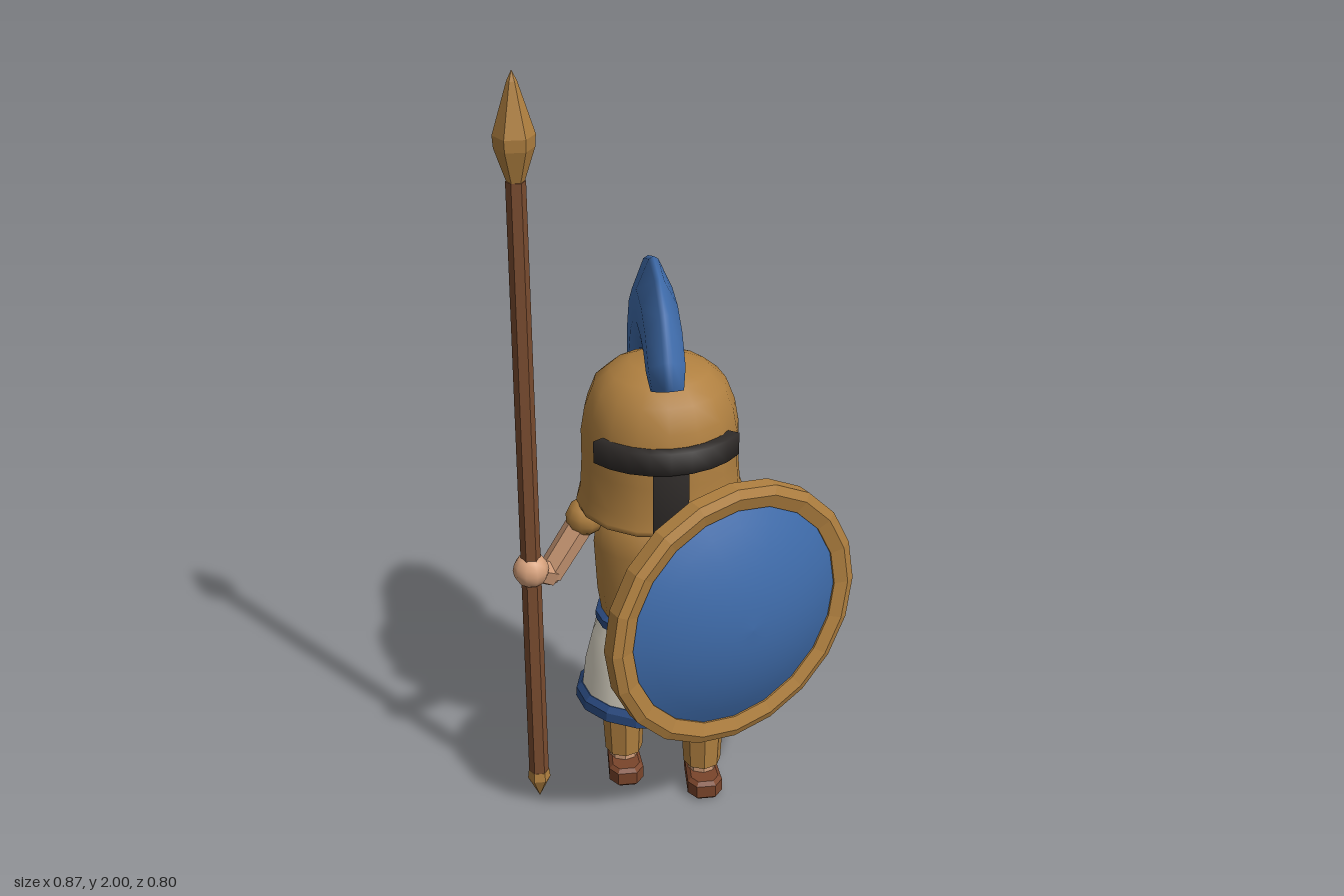
import * as THREE from 'three';

const mat = (color, flatShading = false) =>
  new THREE.MeshStandardMaterial({ color, flatShading, side: THREE.DoubleSide });
const V = (x, y, z) => new THREE.Vector3(x, y, z);

// Vertical middle axis of the body
const CX = -0.047;

export function createModel() {
  const model = new THREE.Group();
  const gold = mat(0xb08040), goldFlat = mat(0xb08040, true);
  const blue = mat(0x3f6cab), darkBlue = mat(0x2a4a80, true);
  const cloth = mat(0xded8c8), skin = mat(0xd6a17c, true), skinSmooth = mat(0xd6a17c);
  const wood = mat(0x7a4c30, true), leather = mat(0x7a452b, true), dark = mat(0x2e2a28);
  const shieldBack = mat(0x643f2c);

  const add = (name, geometry, material, x = 0, y = 0, z = 0, parent = model) => {
    const mesh = new THREE.Mesh(geometry, material);
    mesh.name = name;
    mesh.position.set(x, y, z);
    parent.add(mesh);
    return mesh;
  };
  const lathe = (points, sides) =>
    new THREE.LatheGeometry(points.map(([r, y]) => new THREE.Vector2(r, y)), sides);
  // Tapered limb from one point to another
  const limb = (name, a, b, ra, rb, material) => {
    const d = b.clone().sub(a);
    const mesh = add(name, new THREE.CylinderGeometry(rb, ra, d.length(), 6), material);
    mesh.position.copy(a).addScaledVector(d, 0.5);
    mesh.quaternion.setFromUnitVectors(V(0, 1, 0), d.normalize());
    return mesh;
  };

  // Torso and skirt, oval in plan
  const body = new THREE.Group();
  body.name = 'body';
  body.position.set(CX, 0, -0.005);
  body.scale.z = 0.82;
  model.add(body);
  add('torso', lathe([[0.15, 0.5], [0.165, 0.6], [0.172, 0.74], [0.155, 0.86], [0, 0.88]], 16), gold, 0, 0, 0, body);
  add('skirt', lathe([[0, 0.29], [0.212, 0.29], [0.212, 0.29], [0.2, 0.39], [0.18, 0.47], [0.155, 0.53]], 16),
    cloth, 0, 0, 0, body);
  add('skirtTrim', lathe([[0.2, 0.265], [0.228, 0.27], [0.226, 0.295], [0.212, 0.31], [0.2, 0.31]], 16),
    darkBlue, 0, 0, 0, body);
  add('belt', lathe([[0.15, 0.5], [0.171, 0.508], [0.171, 0.53], [0.15, 0.54]], 16), darkBlue, 0, 0, 0, body);

  // Legs: the left one steps forward
  for (const [side, x, z] of [['left', 0.055, 0.055], ['right', -0.147, -0.03]]) {
    add(side + 'Leg', new THREE.CylinderGeometry(0.045, 0.038, 0.28, 8), skin, x, 0.19, z);
    add(side + 'Greave', new THREE.CylinderGeometry(0.06, 0.05, 0.18, 8), goldFlat, x, 0.165, z);
    const shoe = new THREE.Shape();
    shoe.moveTo(-0.03, -0.055);
    shoe.lineTo(0.03, -0.055);
    shoe.lineTo(0.036, 0.06);
    shoe.lineTo(0.02, 0.082);
    shoe.lineTo(-0.02, 0.082);
    shoe.lineTo(-0.036, 0.06);
    const geometry = new THREE.ExtrudeGeometry(shoe, {
      depth: 0.035, bevelThickness: 0.01, bevelSize: 0.01, bevelSegments: 1 });
    geometry.rotateX(Math.PI / 2);
    add(side + 'Shoe', geometry, leather, x, 0.045, z - 0.005);
  }

  // Arms
  const arms = [
    ['right', V(-0.24, 0.815, 0), V(-0.335, 0.655, 0.0), V(-0.385, 0.71, 0.07)],
    ['left', V(0.145, 0.815, 0), V(0.228, 0.665, 0.05), V(0.165, 0.665, 0.15)],
  ];
  for (const [side, shoulder, elbow, hand] of arms) {
    add(side + 'Pauldron', new THREE.SphereGeometry(0.05, 10, 7), gold, ...shoulder.toArray());
    limb(side + 'UpperArm', shoulder, elbow, 0.037, 0.035, skin);
    add(side + 'Elbow', new THREE.IcosahedronGeometry(0.036, 0), skin, ...elbow.toArray());
    limb(side + 'Forearm', elbow, hand, 0.035, 0.03, skin);
    add(side + 'Hand', new THREE.SphereGeometry(0.046, 10, 8), skinSmooth, ...hand.toArray());
  }

  // Helmet with a T-shaped face opening
  add('helmet', lathe([[0, 0.86], [0.19, 0.85], [0.213, 0.855], [0.213, 0.868], [0.203, 0.9], [0.198, 0.98],
    [0.198, 1.06], [0.188, 1.12], [0.165, 1.18], [0.125, 1.215], [0.075, 1.238], [0, 1.245]], 16),
    gold, CX, 0, -0.005);
  const arc = 0.97;
  for (const [name, r, h, y, a] of [['eyeSlit', 0.217, 0.058, 1.06, arc], ['faceSlit', 0.212, 0.17, 0.955, 0.21]]) {
    // Curved band, closed above and below, following the helmet
    const band = [[r - 0.03, -h / 2], [r, -h / 2], [r, h / 2], [r - 0.03, h / 2]];
    const geometry = new THREE.LatheGeometry(band.map(p => new THREE.Vector2(...p)), 8, -a, 2 * a);
    add(name, geometry, dark, CX, y, 0.002);
  }

  // Crest: pointed cross-section swept over the helmet; rows are inner z, y and outer z, y
  const path = [
    [0.12, 1.215, 0.178, 1.235], [0.085, 1.235, 0.165, 1.305], [0.04, 1.24, 0.095, 1.4],
    [-0.01, 1.24, 0.0, 1.452], [-0.08, 1.235, -0.12, 1.463], [-0.14, 1.21, -0.235, 1.42],
    [-0.19, 1.17, -0.33, 1.34], [-0.22, 1.12, -0.39, 1.22], [-0.235, 1.06, -0.402, 1.13],
    [-0.235, 1.0, -0.37, 1.02], [-0.225, 0.945, -0.325, 0.955], [-0.215, 0.925, -0.245, 0.918]];
  const ring = [[0.034, 0], [0.047, 0.3], [0.045, 0.65], [0.012, 0.97], [0, 1],
    [-0.012, 0.97], [-0.045, 0.65], [-0.047, 0.3], [-0.034, 0]];
  const n = ring.length, pos = [], index = [];
  path.forEach(([zi, yi, zo, yo], i) => {
    const w = i === path.length - 1 ? 0.6 : i === 0 ? 0.85 : 1;
    for (const [x, t] of ring) pos.push(x * w, yi + (yo - yi) * t, zi + (zo - zi) * t);
    if (i === path.length - 1) return;
    for (let j = 0; j < n; j++) {
      const a = i * n + j, b = i * n + (j + 1) % n;
      index.push(a, a + n, b + n, a, b + n, b);
    }
  });
  const last = (path.length - 1) * n;
  for (let j = 1; j < n - 1; j++) index.push(0, j, j + 1, last, last + j + 1, last + j);
  const crest = new THREE.BufferGeometry();
  crest.setAttribute('position', new THREE.Float32BufferAttribute(pos, 3));
  crest.setIndex(index);
  crest.computeVertexNormals();
  add('crest', crest, blue, CX, 0, 0);

  // Round shield, turned towards the left
  const shield = new THREE.Group();
  shield.name = 'shield';
  shield.position.set(0.103, 0.64, 0.23);
  shield.rotation.y = 0.428;
  model.add(shield);
  const rim = [[0.3, -0.018], [0.335, -0.028], [0.358, -0.02], [0.358, 0.02], [0.335, 0.03], [0.3, 0.02], [0.3, -0.018]];
  add('shieldRim', lathe(rim, 20), goldFlat, 0, 0, 0, shield).rotation.x = Math.PI / 2;
  const dome = [];
  for (let i = 0; i <= 6; i++) dome.push([0.31 * (1 - i / 6), 0.095 - 0.085 * (1 - i / 6) ** 2]);
  add('shieldFace', lathe(dome, 20), blue, 0, 0, 0, shield).rotation.x = Math.PI / 2;
  add('shieldBack', new THREE.CircleGeometry(0.31, 20), shieldBack, 0, 0, -0.008, shield).rotation.y = Math.PI;

  // Spear
  const spear = new THREE.Group();
  spear.name = 'spear';
  spear.position.set(-0.385, 0, 0.072);
  spear.rotation.y = Math.PI / 2;
  model.add(spear);
  add('spearShaft', new THREE.CylinderGeometry(0.024, 0.026, 1.66, 6), wood, 0, 0.91, 0, spear);
  add('spearHead', lathe([[0, 1.735], [0.02, 1.735], [0.048, 1.82], [0.05, 1.85], [0.012, 1.975], [0, 2]], 6),
    goldFlat, 0, 0, 0, spear);
  add('spearButt', lathe([[0, 0.01], [0.03, 0.07], [0.027, 0.095], [0, 0.095]], 6), goldFlat, 0, 0, 0, spear);

  return model;
}
